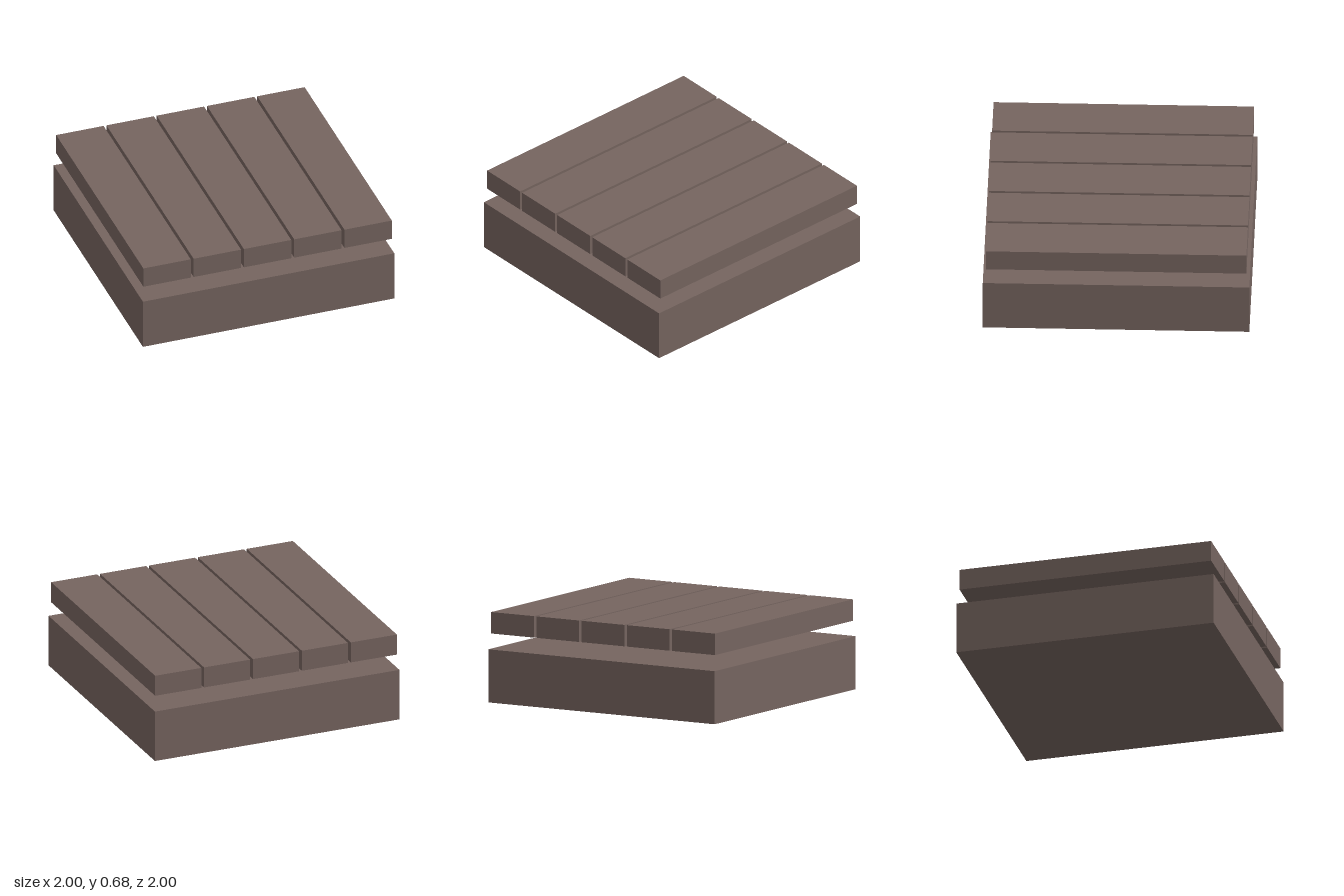
import * as THREE from 'three';

export function createModel() {
  const model = new THREE.Group();
  model.name = 'plankPlatform';
  const wood = new THREE.MeshStandardMaterial({ color: 0x75645f });
  wood.name = 'dull brown wood';

  const addBox = (name, w, h, d, x, bottom) => {
    const mesh = new THREE.Mesh(new THREE.BoxGeometry(w, h, d), wood);
    mesh.name = name;
    mesh.position.set(x, bottom + h / 2, 0);
    model.add(mesh);
  };

  // Solid base block
  addBox('base', 2, 0.403, 2, 0, 0);

  // Five planks running front to back, raised clear of the base
  for (let i = 0; i < 5; i++) {
    addBox(`plank${i + 1}`, 0.377, 0.163, 1.955, (i - 2) * 0.4, 0.521);
  }
  return model;
}
